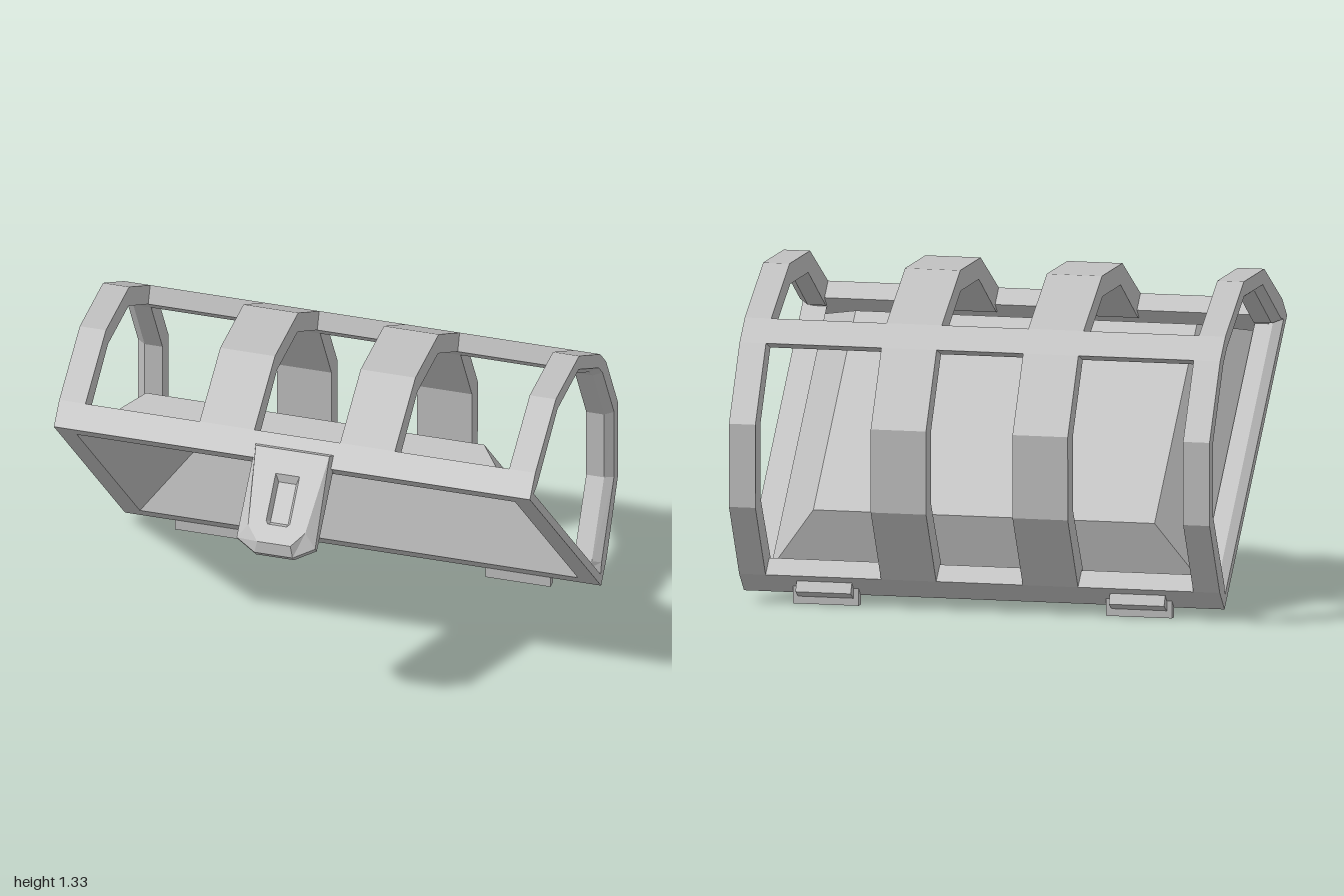
import * as THREE from 'three';

const grey = new THREE.MeshStandardMaterial({ color: 0xc0c0c0, side: THREE.DoubleSide, flatShading: true });
grey.name = 'plain grey';

function add(parent, geometry, name) {
  const mesh = new THREE.Mesh(geometry, grey);
  mesh.name = name;
  parent.add(mesh);
  return mesh;
}

// Extrude a [z, y] outline along x
function extrudeX(points, x0, x1) {
  const shape = new THREE.Shape(points.map(([z, y]) => new THREE.Vector2(-z, y)));
  return new THREE.ExtrudeGeometry(shape, { depth: x1 - x0, bevelEnabled: false })
    .rotateY(Math.PI / 2).translate(x0, 0, 0);
}

// Join closed 3D loops of equal length with quads; optionally cap the last loop
function loft(rings, cap = false) {
  const out = [];
  for (let r = 0; r < rings.length - 1; r++) {
    const a = rings[r], b = rings[r + 1], n = a.length;
    for (let i = 0; i < n; i++) {
      const j = (i + 1) % n;
      out.push(...a[i], ...a[j], ...b[j], ...a[i], ...b[j], ...b[i]);
    }
  }
  if (cap) {
    const c = rings[rings.length - 1];
    for (let i = 1; i < c.length - 1; i++) out.push(...c[0], ...c[i], ...c[i + 1]);
  }
  const g = new THREE.BufferGeometry();
  g.setAttribute('position', new THREE.Float32BufferAttribute(out, 3));
  g.computeVertexNormals();
  return g;
}

// Complete a half outline [a, b] by mirroring its first coordinate
const mirrored = (half) => [...half, ...half.slice().reverse().map(([a, b]) => [-a, b])];

// Half profiles of the arch: [z, y] from the rim to the crown
const outerHalf = [[0.735, 0], [0.735, 0.113], [0.643, 0.445], [0.403, 0.686], [0.062, 0.777]];
const innerHalf = [[0.66, 0.055], [0.64, 0.074], [0.562, 0.407], [0.35, 0.619], [0.03, 0.705]];
const mouthHalf = [[0.69, 0.036], [0.664, 0.08], [0.582, 0.42], [0.365, 0.639], [0.04, 0.725]];

function rect(x, y, z) {
  return [[-x, y, -z], [x, y, -z], [x, y, z], [-x, y, z]];
}

function buildClasp() {
  const clasp = new THREE.Group();
  clasp.name = 'clasp';
  const backHalf = [[0.165, 0.06], [0.165, -0.335], [0.08, -0.385]];
  const faceHalf = [[0.155, 0.045], [0.12, -0.283], [0.07, -0.346]];
  const at = (half, z) => mirrored(half).map(([x, y]) => [x, y, z]);
  const back = at(backHalf, 0.695);
  add(clasp, loft([at(faceHalf, 0.764), at(backHalf, 0.73), back], true), 'claspBody');

  // Front face with a recessed slot
  const slotHalf = [[0.05, -0.057], [0.05, -0.255], [0.04, -0.269]];
  const floorHalf = [[0.037, -0.085], [0.037, -0.25], [0.034, -0.255]];
  const shape = new THREE.Shape(mirrored(faceHalf).map((p) => new THREE.Vector2(...p)));
  shape.holes.push(new THREE.Path(mirrored(slotHalf).map((p) => new THREE.Vector2(...p))));
  add(clasp, new THREE.ShapeGeometry(shape).translate(0, 0, 0.764), 'claspFace');
  add(clasp, loft([at(slotHalf, 0.764), at(floorHalf, 0.74)], true), 'claspSlot');
  return clasp;
}

export function createModel() {
  const model = new THREE.Group();
  model.name = 'openChestLid';

  // The lid is modelled rim-down, then tipped open
  const lid = new THREE.Group();
  lid.name = 'lid';
  lid.position.set(0, 0.56, -0.01);
  lid.rotation.x = -Math.PI / 4;
  model.add(lid);

  // End frames with chamfered openings
  for (const s of [-1, 1]) {
    const outer = mirrored(outerHalf), inner = mirrored(innerHalf), mouth = mirrored(mouthHalf);
    const loop = (pts, x) => pts.map(([z, y]) => [s * x, y, z]);
    const outerBack = outer.map(([z, y]) => [s * (y === 0 ? 0.92 : 0.89), y, z]);
    add(lid, loft([
      loop(inner, 0.89), outerBack, loop(outer, 1), loop(mouth, 1), loop(inner, 0.965), loop(inner, 0.89),
    ]), s > 0 ? 'leftEndFrame' : 'rightEndFrame');

    // Middle ribs
    const band = [...outer, ...inner.slice().reverse()];
    const [x0, x1] = s > 0 ? [0.18, 0.41] : [-0.41, -0.18];
    add(lid, extrudeX(band, x0, x1), s > 0 ? 'leftRib' : 'rightRib');

    // Long rim beams, front and rear
    add(lid, new THREE.BoxGeometry(1.9, 0.113, 0.085).translate(0, 0.0565, s * 0.6925),
      s > 0 ? 'frontRimBeam' : 'rearRimBeam');
  }

  // Crown beam
  add(lid, extrudeX([[0.062, 0.777], [0.03, 0.705], [-0.03, 0.705], [-0.062, 0.777]], -0.95, 0.95), 'crownBeam');

  // Sloped tray lining
  add(lid, loft([rect(0.92, 0, 0.65), rect(0.71, 0.245, 0.498)], true), 'trayLining');

  lid.add(buildClasp());

  // Hinge brackets at the rear lower edge
  for (const s of [-1, 1]) {
    const hinge = new THREE.Group();
    hinge.name = s > 0 ? 'leftHinge' : 'rightHinge';
    const c = s * 0.652;
    add(hinge, extrudeX([[-0.525, 0], [-0.56, 0], [-0.56, 0.09], [-0.525, 0.06]], c - 0.137, c + 0.137), 'hingeFoot');
    add(hinge, extrudeX([[-0.56, 0.03], [-0.605, 0.055], [-0.58, 0.11], [-0.55, 0.09]], c - 0.115, c + 0.115), 'hingeFlap');
    model.add(hinge);
  }

  return model;
}
